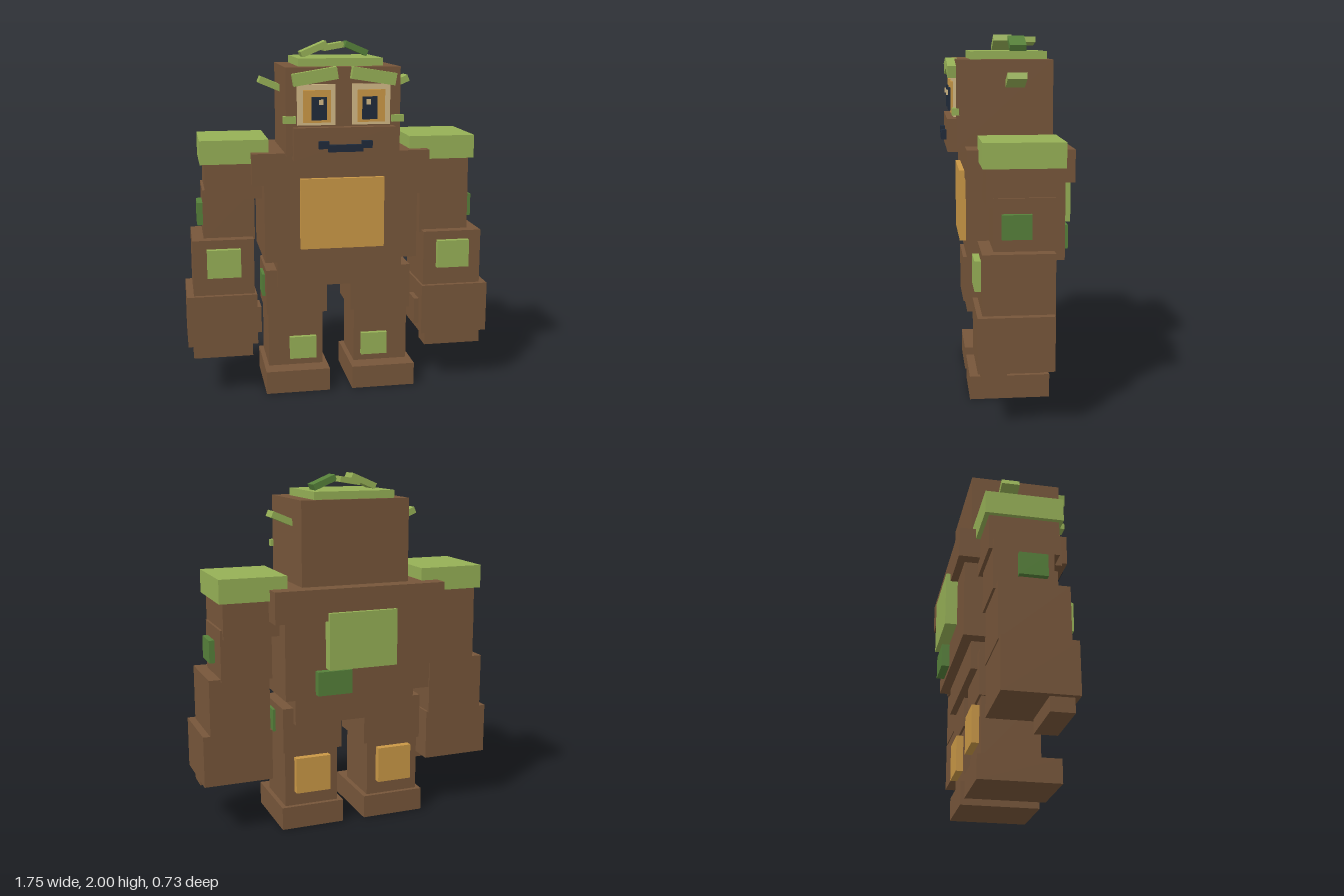
import * as THREE from 'three';

const paint = (name, color) => {
  const m = new THREE.MeshStandardMaterial({ color });
  m.name = name;
  return m;
};

export function createModel() {
  const root = new THREE.Group();
  root.name = 'blockyForestGolem';

  const bark = paint('bark brown', 0x77563a);
  const leaf = paint('leaf green', 0x96b056);
  const moss = paint('moss green', 0x56803a);
  const amber = paint('amber', 0xca9846);
  const cream = paint('cream', 0xd2b986);
  const navy = paint('dark navy', 0x1f2a3a);

  // Box given by its extents on each axis, with an optional tilt about z
  const box = (name, mat, [x0, x1], [y0, y1], [z0, z1], tilt = 0) => {
    const mesh = new THREE.Mesh(new THREE.BoxGeometry(x1 - x0, y1 - y0, z1 - z0), mat);
    mesh.position.set((x0 + x1) / 2, (y0 + y1) / 2, (z0 + z1) / 2);
    mesh.rotation.z = tilt;
    mesh.name = name;
    root.add(mesh);
  };

  // The same box on the left (+x) and right (-x) sides
  const pair = (name, mat, [x0, x1], y, z, tilt = 0) => {
    box(name + 'Left', mat, [x0, x1], y, z, tilt);
    box(name + 'Right', mat, [-x1, -x0], y, z, -tilt);
  };

  // Body
  box('chest', bark, [-0.5, 0.5], [1.225, 1.402], [-0.337, 0.242]);
  box('torso', bark, [-0.434, 0.434], [0.785, 1.3], [-0.295, 0.235]);
  box('pelvis', bark, [-0.36, 0.36], [0.625, 0.8], [-0.24, 0.18]);
  box('bellyPatch', amber, [-0.236, 0.236], [0.863, 1.26], [0.225, 0.27]);
  box('backLeafPatch', leaf, [-0.2, 0.2], [0.955, 1.272], [-0.362, -0.285]);
  box('backMossPatch', moss, [0.06, 0.26], [0.81, 0.945], [-0.34, -0.285]);

  // Head
  box('head', bark, [-0.316, 0.316], [1.39, 1.87], [-0.24, 0.285]);
  box('muzzle', bark, [-0.28, 0.28], [1.37, 1.55], [0.2, 0.335]);
  box('mouth', navy, [-0.095, 0.095], [1.42, 1.458], [0.33, 0.363]);
  pair('mouthCorner', navy, [0.09, 0.147], [1.438, 1.478], [0.33, 0.362]);

  // Eyes and face leaves
  pair('eyeSocket', cream, [0.046, 0.256], [1.56, 1.78], [0.28, 0.3]);
  pair('iris', amber, [0.075, 0.225], [1.575, 1.75], [0.295, 0.312]);
  pair('pupil', navy, [0.098, 0.18], [1.59, 1.713], [0.305, 0.325]);
  pair('eyeGlint', cream, [0.118, 0.142], [1.672, 1.7], [0.32, 0.334]);
  pair('brow', leaf, [0.038, 0.283], [1.79, 1.856], [0.27, 0.332], -0.16);
  pair('cheekLeaf', leaf, [0.264, 0.332], [1.572, 1.61], [0.272, 0.31]);
  pair('sideLeaf', leaf, [0.295, 0.435], [1.743, 1.78], [-0.085, 0.02], 0.4);

  // Leafy crown
  box('crownMat', leaf, [-0.236, 0.236], [1.865, 1.913], [-0.217, 0.205]);
  box('crownLeafFront', leaf, [-0.202, -0.045], [1.938, 1.973], [-0.052, 0.055], 0.4);
  box('crownLeafBack', leaf, [-0.052, 0.066], [1.95, 1.982], [-0.173, -0.055], 0.17);
  box('crownLeafMoss', moss, [0.062, 0.2], [1.938, 1.973], [-0.108, -0.015], -0.4);

  // Arms
  pair('shoulderLeafPad', leaf, [0.4, 0.78], [1.34, 1.472], [-0.245, 0.18]);
  pair('shoulder', bark, [0.44, 0.755], [1.14, 1.345], [-0.22, 0.16]);
  pair('upperArm', bark, [0.48, 0.768], [0.9, 1.19], [-0.2, 0.125]);
  pair('upperArmMoss', moss, [0.76, 0.8], [0.982, 1.11], [-0.07, 0.085]);
  pair('forearm', bark, [0.492, 0.834], [0.59, 0.915], [-0.187, 0.188]);
  pair('forearmLeafPatch', leaf, [0.568, 0.756], [0.705, 0.865], [0.18, 0.222]);
  pair('hand', bark, [0.48, 0.874], [0.307, 0.598], [-0.182, 0.215]);
  pair('fingers', bark, [0.508, 0.844], [0.228, 0.32], [0.063, 0.19]);
  pair('thumb', bark, [0.452, 0.5], [0.35, 0.503], [0.02, 0.15]);

  // Legs
  pair('thigh', bark, [0.07, 0.422], [0.455, 0.715], [-0.203, 0.15]);
  pair('thighMoss', moss, [0.41, 0.438], [0.545, 0.675], [-0.06, 0.08]);
  pair('shin', bark, [0.094, 0.41], [0.12, 0.47], [-0.19, 0.125]);
  pair('shinLeafPatch', leaf, [0.134, 0.288], [0.175, 0.307], [0.115, 0.152]);
  pair('calfPatch', amber, [0.15, 0.355], [0.215, 0.423], [-0.23, -0.18]);
  pair('foot', bark, [0.066, 0.436], [0, 0.132], [-0.215, 0.23]);

  return root;
}
